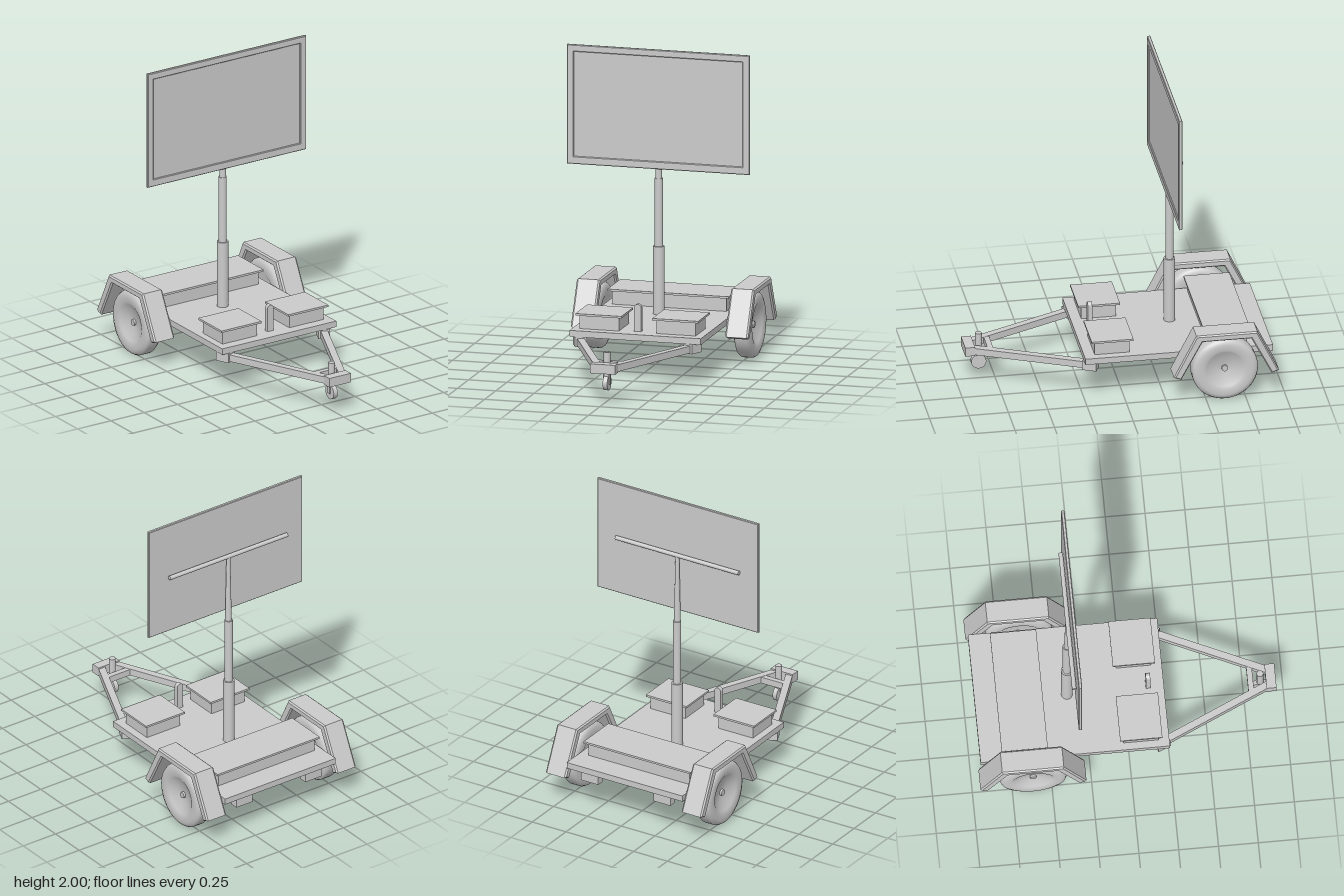
import * as THREE from 'three';

const mat = new THREE.MeshStandardMaterial({ color: 0xcccccc });
const CX = 0.0125; // centre line of the deck and wheels

export function createModel() {
  const root = new THREE.Group();

  const add = (name, geo, x = 0, y = 0, z = 0) => {
    const m = new THREE.Mesh(geo, mat);
    m.name = name;
    m.position.set(x, y, z);
    root.add(m);
    return m;
  };
  // box given by its low and high corners
  const box = (name, [x0, y0, z0], [x1, y1, z1]) =>
    add(name, new THREE.BoxGeometry(x1 - x0, y1 - y0, z1 - z0),
      (x0 + x1) / 2, (y0 + y1) / 2, (z0 + z1) / 2);
  // upright round tube between two heights
  const tube = (name, rTop, rBottom, y0, y1, x, z) =>
    add(name, new THREE.CylinderGeometry(rTop, rBottom, y1 - y0, 24), x, (y0 + y1) / 2, z);

  // deck
  box('deck', [-0.415, 0.26, -0.94], [0.44, 0.3, 0.25]);

  // equipment boxes with overhanging lids: x0, x1, z0, z1 of each lid
  const crates = [
    ['frontRightBox', -0.39, -0.09, -0.06, 0.205],
    ['frontLeftBox', 0.11, 0.41, -0.06, 0.205],
    ['rearBox', -0.39, 0.4, -0.805, -0.515],
  ];
  for (const [name, x0, x1, z0, z1] of crates) {
    const o = 0.022;
    box(name, [x0 + o, 0.3, z0 + o], [x1 - o, 0.387, z1 - o]);
    box(name + 'Lid', [x0, 0.387, z0], [x1, 0.4, z1]);
  }

  // short round-topped post on the deck
  const postShape = new THREE.Shape();
  postShape.moveTo(-0.023, 0);
  postShape.lineTo(0.023, 0);
  postShape.lineTo(0.023, 0.152);
  postShape.absarc(0, 0.152, 0.023, 0, Math.PI, false);
  add('deckPost', new THREE.ExtrudeGeometry(postShape, { depth: 0.028, bevelEnabled: false }),
    0.003, 0.3, 0.136);

  // telescopic mast
  const MX = -0.01, MZ = -0.36;
  tube('mastLower', 0.036, 0.036, 0.3, 0.735, MX, MZ);
  tube('mastMiddle', 0.026, 0.026, 0.735, 1.17, MX, MZ);
  tube('mastUpper', 0.012, 0.021, 1.17, 1.63, MX, MZ + 0.003);
  const bar = add('panelCrossbar', new THREE.CylinderGeometry(0.014, 0.014, 0.91, 16), MX, 1.628, -0.356);
  bar.rotation.z = Math.PI / 2;

  // display panel: raised frame around a recessed screen
  const rect = (P, x0, y0, x1, y1) => {
    const s = new P();
    s.moveTo(x0, y0);
    s.lineTo(x1, y0);
    s.lineTo(x1, y1);
    s.lineTo(x0, y1);
    s.closePath();
    return s;
  };
  const b = 0.004;
  const frame = rect(THREE.Shape, -0.597 + b, 1.235 + b, 0.592 - b, 2 - b);
  frame.holes.push(rect(THREE.Path, -0.558, 1.28, 0.55, 1.96));
  add('panelFrame', new THREE.ExtrudeGeometry(frame, {
    depth: 0.014, bevelThickness: b, bevelSize: b, bevelSegments: 1,
  }), 0, 0, -0.336);
  box('screen', [-0.575, 1.26, -0.34], [0.57, 1.98, -0.327]);

  // wheels and mudguards
  const wheelProfile = [
    [0, -0.04], [0.11, -0.045], [0.13, -0.055], [0.175, -0.055], [0.2, -0.045], [0.21, -0.03],
    [0.21, 0.03], [0.2, 0.047], [0.175, 0.057], [0.135, 0.055], [0.12, 0.046],
    [0.07, 0.026], [0.02, 0.018], [0.02, 0.018], [0.02, 0.032], [0.02, 0.032], [0, 0.032],
  ].map(([r, h]) => new THREE.Vector2(r, h));
  const wheelGeo = new THREE.LatheGeometry(wheelProfile, 48);

  const guard = new THREE.Shape([
    [0.298, 0.198], [0.435, 0.467], [0.812, 0.467], [0.944, 0.198],
    [0.912, 0.186], [0.783, 0.438], [0.464, 0.438], [0.33, 0.186],
  ].map(([x, y]) => new THREE.Vector2(x, y)));
  const guardGeo = new THREE.ExtrudeGeometry(guard, {
    depth: 0.13, bevelThickness: 0.01, bevelSize: 0.008, bevelSegments: 1,
  });
  guardGeo.translate(0, 0, -0.065);
  guardGeo.rotateY(Math.PI / 2); // profile now runs along -z

  for (const [side, s] of [['left', 1], ['right', -1]]) {
    const wheel = add(side + 'Wheel', wheelGeo, CX + s * 0.495, 0.21, -0.618);
    wheel.rotation.z = -s * Math.PI / 2;
    const hub = add(side + 'AxleStub', new THREE.CylinderGeometry(0.025, 0.025, 0.06, 16),
      CX + s * 0.435, 0.21, -0.618);
    hub.rotation.z = Math.PI / 2;
    add(side + 'Mudguard', guardGeo, CX + s * 0.5025, 0, 0);

    // tail lamp housing under the rear edge
    const tx = CX + s * 0.267;
    box(side + 'TailLamp', [tx - 0.063, 0.197, -0.925], [tx + 0.063, 0.26, -0.875]);

    // drawbar arm running inwards to the coupling
    const a = new THREE.Vector3(0.005 + s * 0.38, 0.228, 0.175);
    const e = new THREE.Vector3(0.005 + s * 0.05, 0.228, 0.9);
    const arm = add(side + 'DrawbarArm', new THREE.BoxGeometry(0.045, 0.045, a.distanceTo(e)));
    arm.position.copy(a).lerp(e, 0.5);
    arm.rotation.y = Math.atan2(e.x - a.x, e.z - a.z);
    const bracket = add(side + 'DrawbarBracket', new THREE.BoxGeometry(0.075, 0.062, 0.09),
      0.005 + s * 0.366, 0.23, 0.205);
    bracket.rotation.y = arm.rotation.y;
  }

  // coupling and jockey wheel
  box('coupling', [-0.076, 0.2, 0.89], [0.086, 0.26, 0.952]);
  box('drawbarBrace', [-0.075, 0.207, 0.775], [0.085, 0.249, 0.81]);
  tube('jockeyTube', 0.021, 0.021, 0.165, 0.32, 0.005, 0.855);
  for (const s of [-1, 1]) {
    box('jockeyFork', [0.005 + s * 0.019 - 0.003, 0.115, 0.843], [0.005 + s * 0.019 + 0.003, 0.185, 0.867]);
  }
  const jockey = add('jockeyWheel', new THREE.CylinderGeometry(0.048, 0.048, 0.03, 24), 0.005, 0.124, 0.855);
  jockey.rotation.z = Math.PI / 2;

  return root;
}
